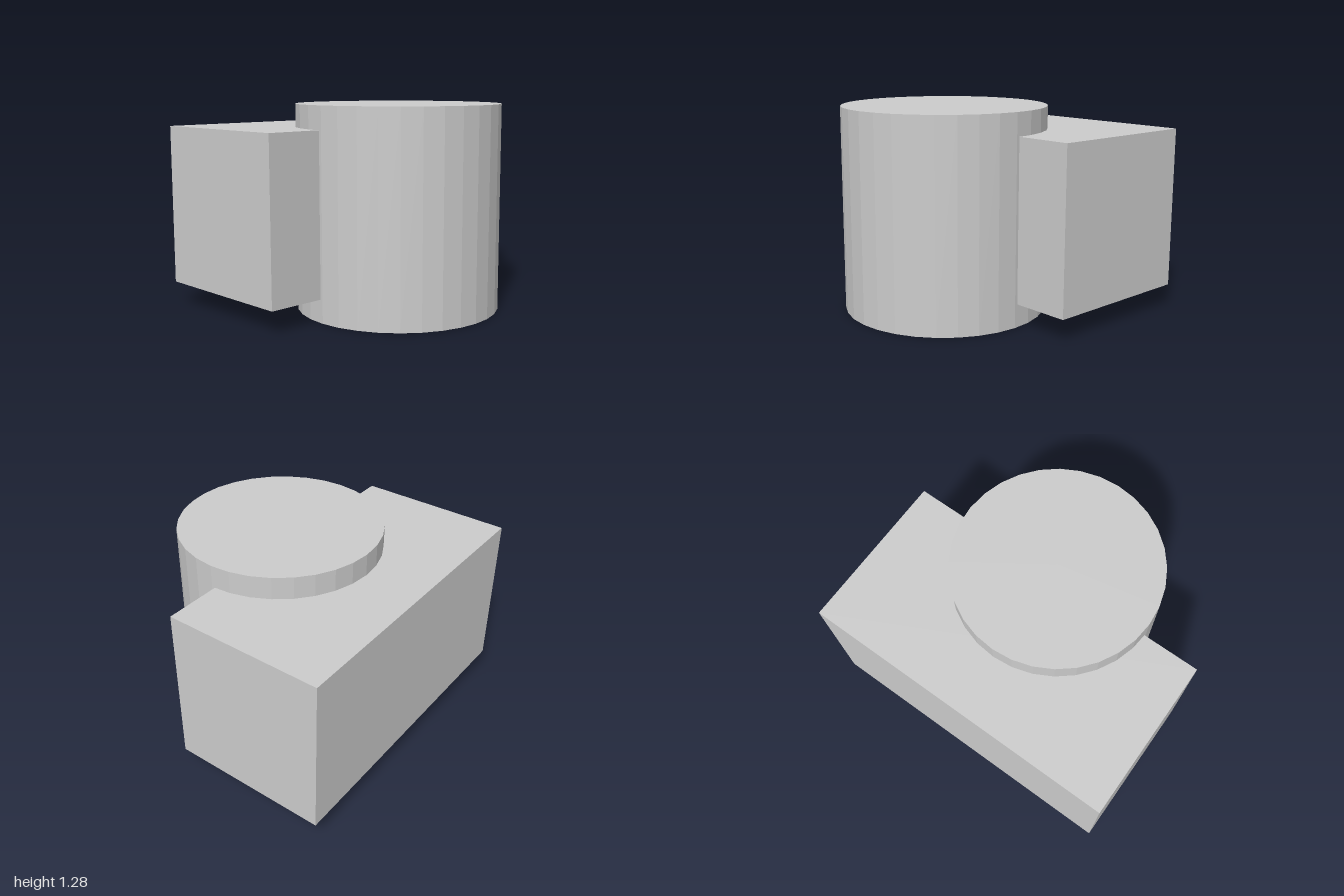
import * as THREE from 'three';

export function createModel() {
  const group = new THREE.Group();
  const material = new THREE.MeshStandardMaterial({ color: 0xcccccc, flatShading: true });

  const add = (name, geometry, x, y, z) => {
    const mesh = new THREE.Mesh(geometry, material);
    mesh.name = name;
    mesh.position.set(x, y, z);
    group.add(mesh);
  };

  // Rectangular block at the back, raised off the ground
  add('backBlock', new THREE.BoxGeometry(2, 1, 1), 0, 0.643, -0.33);

  // Upright faceted drum sunk into the front of the block
  const radius = 0.64, height = 1.285;
  add('drum', new THREE.CylinderGeometry(radius, radius, height, 32), 0, height / 2, 0.19);

  return group;
}
